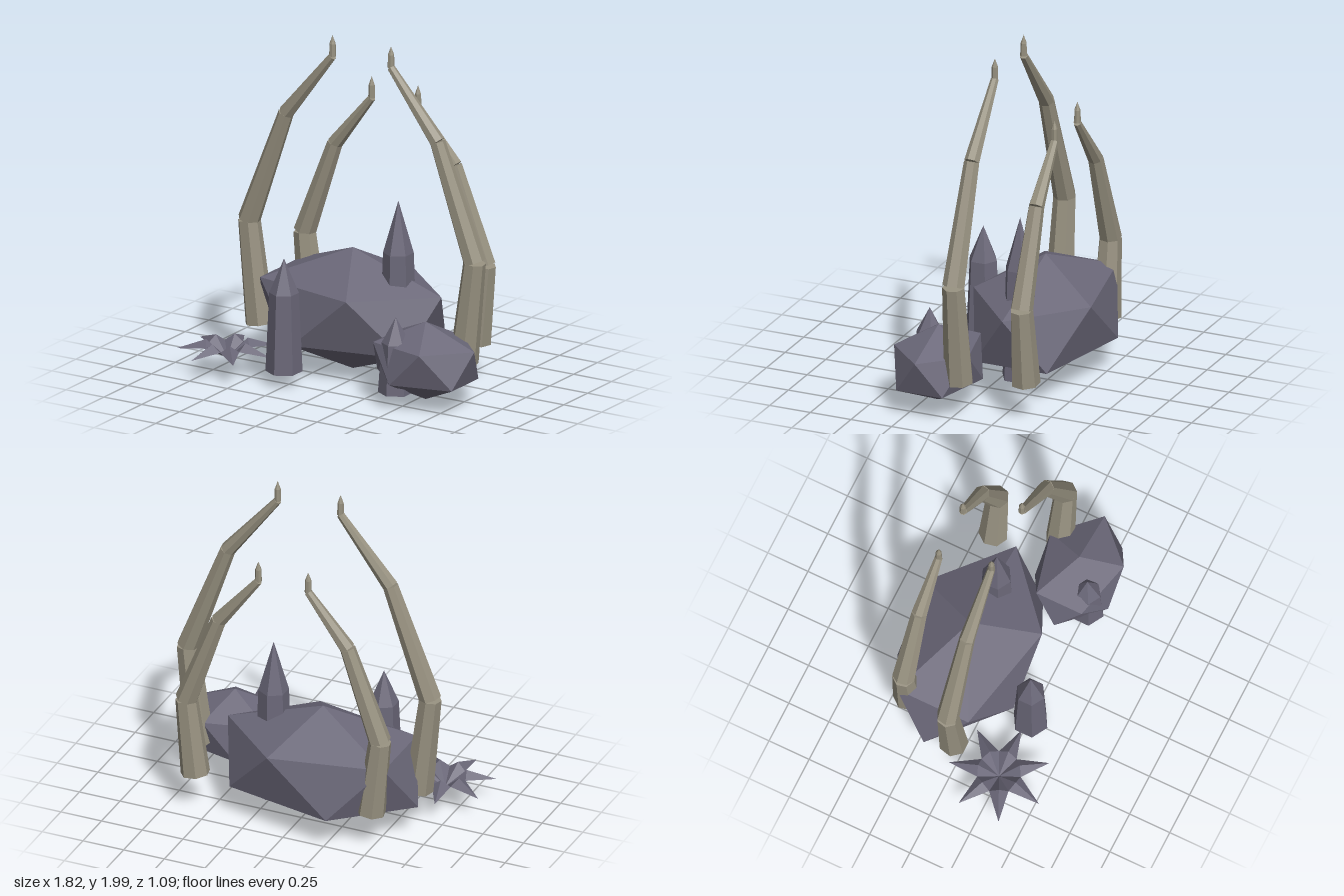
import * as THREE from 'three';
import { ConvexGeometry } from 'three/addons/geometries/ConvexGeometry.js';

const stone = new THREE.MeshStandardMaterial({ name: 'slate stone', color: 0x6b6879, flatShading: true });
const leaf = new THREE.MeshStandardMaterial({ name: 'slate leaf', color: 0x6b6879, flatShading: true, side: THREE.DoubleSide });
const bone = new THREE.MeshStandardMaterial({ name: 'old bone', color: 0x979180, flatShading: true });

function add(parent, name, geometry, material) {
  const mesh = new THREE.Mesh(geometry, material);
  mesh.name = name;
  parent.add(mesh);
  return mesh;
}

// Stretched icosahedron standing on one of its points
function rock(parent, name, center, rx, ry, rz) {
  const points = [new THREE.Vector3(0, ry, 0), new THREE.Vector3(0, -ry, 0)];
  const ring = 2 / Math.sqrt(5), level = 1 / Math.sqrt(5);
  for (let i = 0; i < 10; i++) {
    const a = (i * Math.PI) / 5;
    points.push(new THREE.Vector3(Math.cos(a) * ring * rx, (i % 2 ? -1 : 1) * level * ry, Math.sin(a) * ring * rz));
  }
  add(parent, name, new ConvexGeometry(points), stone).position.set(...center);
}

// Six-sided tapering column with a pointed tip
function crystal(parent, name, x, z, radius, shoulderY, tipY) {
  const group = new THREE.Group();
  group.name = name;
  const baseY = 0.09, top = radius * 0.8;
  add(group, 'crystalShaft', new THREE.CylinderGeometry(top, radius, shoulderY - baseY, 6), stone)
    .position.y = (baseY + shoulderY) / 2;
  add(group, 'crystalTip', new THREE.ConeGeometry(top, tipY - shoulderY, 6), stone)
    .position.y = (shoulderY + tipY) / 2;
  group.position.set(x, 0, z);
  parent.add(group);
}

// Seven folded leaves that rise from the centre and droop to a point
function spikyPlant(parent) {
  const pos = [], count = 7, step = (Math.PI * 2) / count;
  const at = (r, a, y) => [r * Math.cos(a), y, r * Math.sin(a)];
  const center = [0, 0.1, 0];
  for (let i = 0; i < count; i++) {
    const a = i * step;
    const ridge = at(0.12, a, 0.205), tip = at(0.288, a, 0.145);
    const before = at(0.125, a - step / 2, 0.165), after = at(0.125, a + step / 2, 0.165);
    pos.push(...center, ...ridge, ...before, ...center, ...after, ...ridge);
    pos.push(...ridge, ...tip, ...before, ...ridge, ...after, ...tip);
  }
  const g = new THREE.BufferGeometry();
  g.setAttribute('position', new THREE.Float32BufferAttribute(pos, 3));
  g.computeVertexNormals();
  add(parent, 'spikyPlant', g, leaf).position.set(-0.65, 0, 0.26);
}

// Jointed curved rib; path gives the joints from the base to the tip
function rib(parent, name, path, side, z, turn) {
  const group = new THREE.Group();
  group.name = name;
  const radii = [0.084, 0.065, 0.045, 0.023];
  const joints = path.map(([x, y]) => new THREE.Vector3(0.05 + side * x, y, z));
  const up = new THREE.Vector3(0, 1, 0);
  for (let i = 0; i < 3; i++) {
    const dir = joints[i + 1].clone().sub(joints[i]);
    const g = new THREE.CylinderGeometry(radii[i + 1], radii[i], dir.length(), 7).rotateY(turn);
    const seg = add(group, 'ribSegment', g, bone);
    seg.position.copy(joints[i]).addScaledVector(dir, 0.5);
    seg.quaternion.setFromUnitVectors(up, dir.normalize());
  }
  // Upright claw at the end
  const base = joints[3], height = joints[4].y - base.y;
  const shaft = add(group, 'clawShaft', new THREE.CylinderGeometry(0.018, 0.02, height * 0.6, 7).rotateY(turn), bone);
  shaft.position.copy(base).y += height * 0.3;
  const point = add(group, 'clawTip', new THREE.ConeGeometry(0.018, height * 0.4, 7).rotateY(turn), bone);
  point.position.copy(base).y += height * 0.8;
  parent.add(group);
}

export function createModel() {
  const model = new THREE.Group();
  model.name = 'ribbedRockCluster';

  rock(model, 'largeRock', [-0.105, 0.365, -0.19], 0.654, 0.355, 0.424);
  rock(model, 'smallRock', [0.59, 0.267, 0.15], 0.358, 0.227, 0.268);

  crystal(model, 'frontCrystal', -0.27, 0.27, 0.104, 0.55, 0.75);
  crystal(model, 'backCrystal', 0.205, -0.175, 0.108, 0.745, 1.05);
  crystal(model, 'smallCrystal', 0.463, 0.262, 0.1, 0.38, 0.53);

  spikyPlant(model);

  // Joints as distance from the ribs' middle plane, and height
  const tall = [[0.673, 0.23], [0.744, 0.825], [0.5, 1.49], [0.193, 1.875], [0.193, 2.0]];
  const short = [[0.54, 0.23], [0.594, 0.69], [0.395, 1.24], [0.153, 1.545], [0.153, 1.67]];
  for (const side of [1, -1]) {
    const label = side > 0 ? 'left' : 'right';
    rib(model, label + 'FrontRib', tall, side, -0.037, Math.PI);
    rib(model, label + 'BackRib', short, side, -0.385, 0);
  }
  return model;
}
